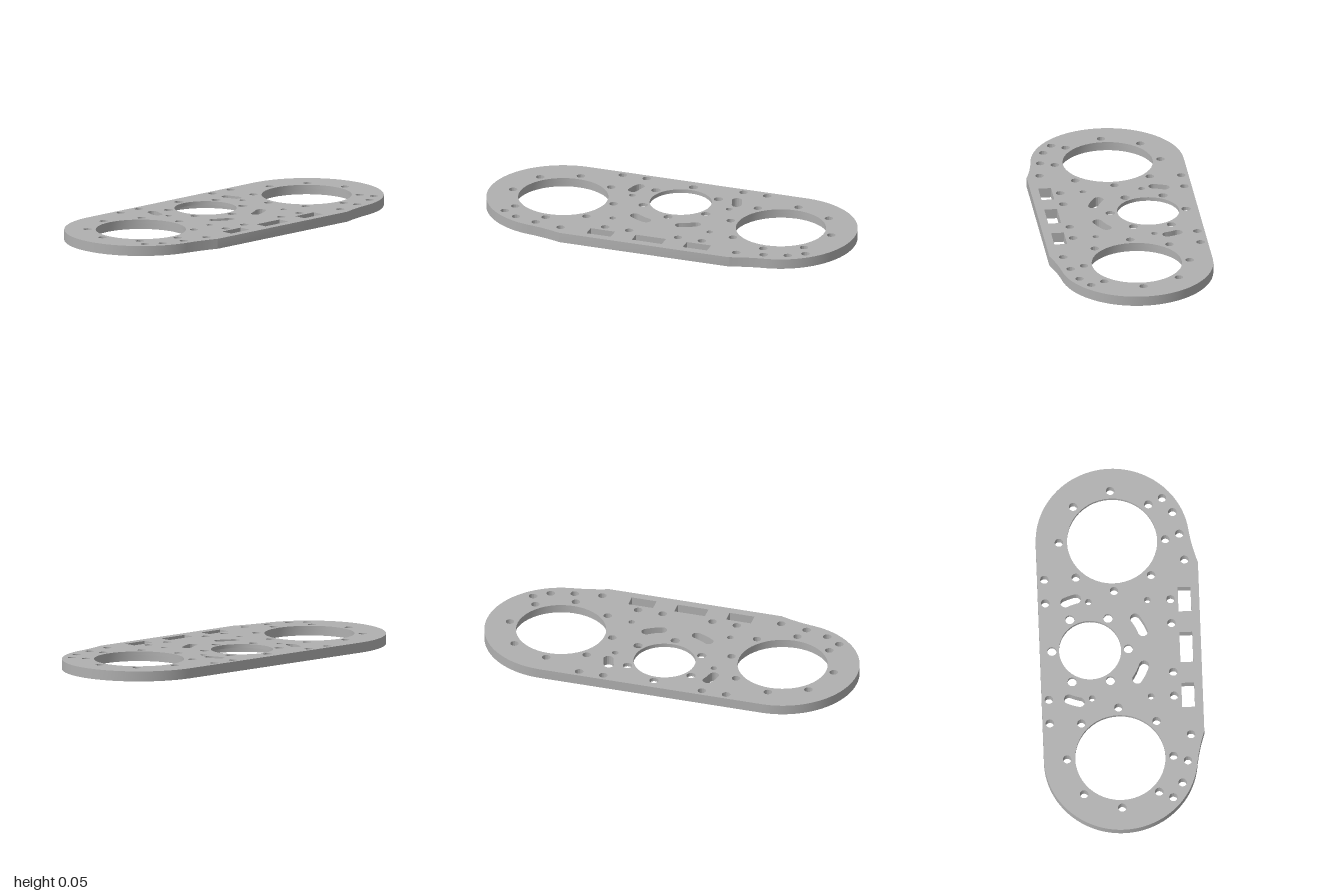
import * as THREE from 'three';
import { toCreasedNormals } from 'three/addons/utils/BufferGeometryUtils.js';

const TOP = 0.053, LEDGE = 0.033, SEG = 24;
const BOLT = 0.022, PIN = 0.017;

// All 2D outlines are drawn in plan: (x, z)
const circle = (x, z, r) => new THREE.Path().absarc(x, z, r, 0, Math.PI * 2, false);
const ring = (x, z, radius, count, r, start = 0) => Array.from({ length: count }, (_, i) => {
  const a = start + i / count * Math.PI * 2;
  return circle(x + radius * Math.cos(a), z + radius * Math.sin(a), r);
});
const rect = (x, z, w, d) => new THREE.Path([[-1, -1], [1, -1], [1, 1], [-1, 1]]
  .map(([i, j]) => new THREE.Vector2(x + i * w / 2, z + j * d / 2)));

// Curved slot with round ends, following an arc between two angles
function arcSlot(cx, cz, radius, a0, a1, r) {
  const at = a => [cx + radius * Math.cos(a), cz + radius * Math.sin(a)];
  const p = new THREE.Path();
  p.absarc(cx, cz, radius + r, a0, a1, false);
  p.absarc(...at(a1), r, a1, a1 + Math.PI, false);
  p.absarc(cx, cz, radius - r, a1, a0, true);
  p.absarc(...at(a0), r, a0 + Math.PI, a0 + Math.PI * 2, false);
  return p;
}

// Plate outline: two round ends and a wider straight front edge
function outline() {
  const s = new THREE.Shape(), a = 1.42;
  const ex = 0.6 + 0.4 * Math.cos(a), ez = -0.02 + 0.4 * Math.sin(a);
  s.absarc(0.6, -0.02, 0.4, -Math.PI / 2, a, false);
  s.quadraticCurveTo(0.56, 0.388, 0.467, 0.42);
  s.lineTo(-0.467, 0.42);
  s.quadraticCurveTo(-0.56, 0.388, -ex, ez);
  s.absarc(-0.6, -0.02, 0.4, Math.PI - a, Math.PI * 1.5, false);
  return s;
}

// Flat horizontal face with holes, facing up or down
function face(shape, holes, y, up) {
  shape.holes = holes;
  const g = new THREE.ShapeGeometry(shape, SEG).rotateX(Math.PI / 2).translate(0, y, 0);
  if (up) {
    g.index.array.reverse();
    g.computeVertexNormals();
  }
  return g;
}

// Vertical wall along a closed path; inward for holes
function wall(path, y0, y1, inward) {
  let pts = path.getPoints(SEG);
  pts = pts.filter((p, i) => p.distanceTo(pts[(i + 1) % pts.length]) > 1e-5);
  if (THREE.ShapeUtils.isClockWise(pts) !== inward) pts.reverse();
  const pos = [], idx = [], n = pts.length;
  pts.forEach((p, i) => {
    const a = 2 * i, b = 2 * ((i + 1) % n);
    pos.push(p.x, y0, p.y, p.x, y1, p.y);
    idx.push(a, a + 1, b, b, a + 1, b + 1);
  });
  const g = new THREE.BufferGeometry();
  g.setAttribute('position', new THREE.Float32BufferAttribute(pos, 3));
  g.setIndex(idx);
  return toCreasedNormals(g, 0.5);
}

export function createModel() {
  const group = new THREE.Group();
  const grey = new THREE.MeshStandardMaterial({ color: 0xb0b0b0 });
  grey.name = 'plate grey';
  const add = (name, geometry) => {
    const m = new THREE.Mesh(geometry, grey);
    m.name = name;
    group.add(m);
  };

  // Stepped bores: narrow above, wider recess below
  const bores = [
    { name: 'rightBore', x: -0.6, z: -0.022, r: 0.235, recess: 0.248, bolts: [] },
    { name: 'leftBore', x: 0.6, z: -0.022, r: 0.235, recess: 0.248, bolts: [] },
    { name: 'centreBore', x: 0, z: -0.158, r: 0.162, recess: 0.235,
      bolts: ring(0, -0.158, 0.199, 6, 0.024, Math.PI / 6) },
  ];

  // Holes through the full thickness
  const through = [rect(0, 0.343, 0.166, 0.067)];
  for (const s of [-1, 1]) {
    through.push(...ring(s * 0.6, -0.022, 0.277, 8, BOLT));
    through.push(rect(s * 0.265, 0.343, 0.134, 0.067));
    for (const [x, z, r] of [
      [0.398, -0.382, BOLT], [0.267, -0.382, BOLT], [0.267, -0.157, PIN], [0.267, 0.15, PIN],
      [0.267, 0.27, BOLT], [0.135, 0.27, BOLT], [0.829, 0.246, BOLT], [0.749, 0.297, BOLT],
      [0.628, 0.329, BOLT], [0.484, 0.35, BOLT],
    ]) through.push(circle(s * x, z, r));
    // Slots around the centre bore
    for (const [a0, a1] of [[-0.42, -0.22], [0.96, 1.245]]) {
      const [b0, b1] = s > 0 ? [a0, a1] : [Math.PI - a1, Math.PI - a0];
      through.push(arcSlot(0, -0.158, 0.293, b0, b1, 0.026));
    }
  }

  // Plate surfaces
  const upper = bores.flatMap(b => [circle(b.x, b.z, b.r), ...b.bolts]);
  const lower = bores.map(b => circle(b.x, b.z, b.recess));
  add('plateTop', face(outline(), [...through, ...upper], TOP, true));
  add('plateBottom', face(outline(), [...through, ...lower], 0, false));
  add('plateEdge', wall(outline(), 0, TOP, false));
  through.forEach(h => add('holeWall', wall(h, 0, TOP, true)));

  // Bore walls and their ledges
  for (const b of bores) {
    const bore = circle(b.x, b.z, b.r);
    add(b.name + 'Wall', wall(bore, LEDGE, TOP, true));
    add(b.name + 'Recess', wall(circle(b.x, b.z, b.recess), 0, LEDGE, true));
    const disc = new THREE.Shape().absarc(b.x, b.z, b.recess, 0, Math.PI * 2, false);
    add(b.name + 'Ledge', face(disc, [bore, ...b.bolts], LEDGE, false));
    b.bolts.forEach(h => add(b.name + 'BoltWall', wall(h, LEDGE, TOP, true)));
  }
  return group;
}
